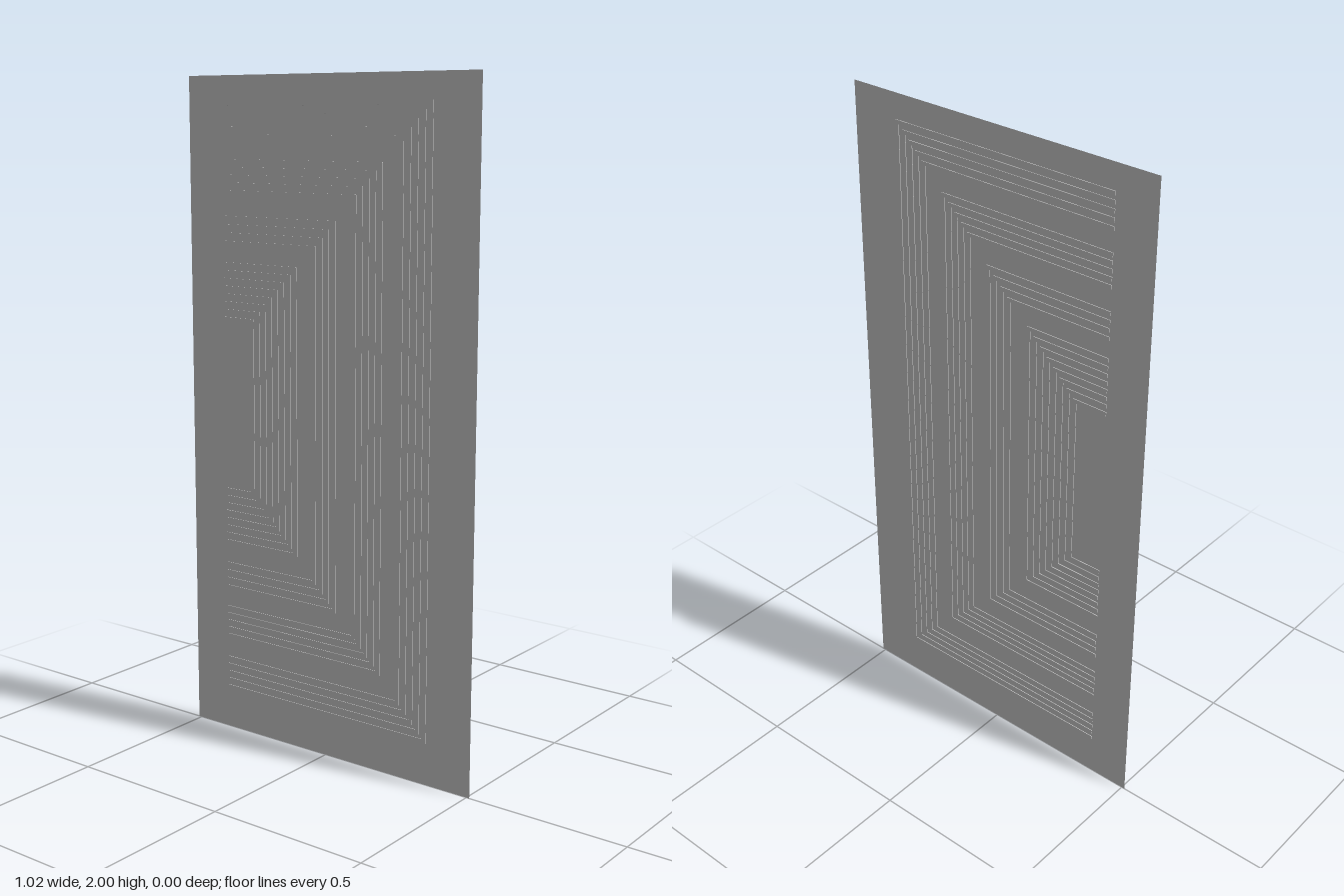
import * as THREE from 'three';

const grey = new THREE.MeshStandardMaterial({ color: 0xcccccc, side: THREE.DoubleSide, flatShading: true });

const LEFT = -0.38;   // open ends of all tracks
const WIDTH = 0.012;  // width of one track
const DEPTH = 0.004;  // track thickness, centred on the sheet

// One bracket-shaped track, open on the -x side
function track(right, top, bottom) {
  const w = WIDTH;
  const shape = new THREE.Shape([
    [LEFT, bottom], [right, bottom], [right, top], [LEFT, top],
    [LEFT, top - w], [right - w, top - w], [right - w, bottom + w], [LEFT, bottom + w],
  ].map(([x, y]) => new THREE.Vector2(x, y)));
  const geometry = new THREE.ExtrudeGeometry(shape, { depth: DEPTH, bevelEnabled: false });
  geometry.translate(0, 0, -DEPTH / 2);
  return new THREE.Mesh(geometry, grey);
}

export function createModel() {
  const model = new THREE.Group();
  model.name = 'trackPanel';

  // Thin backing sheet
  const sheet = new THREE.Mesh(new THREE.PlaneGeometry(1.02, 2), grey);
  sheet.name = 'sheet';
  sheet.position.y = 1;
  model.add(sheet);

  // Four bands of nested tracks, from the outside in
  const bands = [
    { name: 'outerBand', right: 0.36, top: 1.925, bottom: 0.125, count: 5, pitch: 0.0235 },
    { name: 'secondBand', right: 0.197, top: 1.76, bottom: 0.293, count: 5, pitch: 0.0225 },
    { name: 'thirdBand', right: 0.037, top: 1.595, bottom: 0.45, count: 4, pitch: 0.0245 },
    { name: 'innerBand', right: -0.105, top: 1.458, bottom: 0.595, count: 8, pitch: 0.0233 },
  ];
  for (const { name, right, top, bottom, count, pitch } of bands) {
    const band = new THREE.Group();
    band.name = name;
    for (let i = 0; i < count; i++) {
      const inset = i * pitch;
      const mesh = track(right - inset, top - inset, bottom + inset);
      mesh.name = `track${i + 1}`;
      band.add(mesh);
    }
    model.add(band);
  }
  return model;
}
